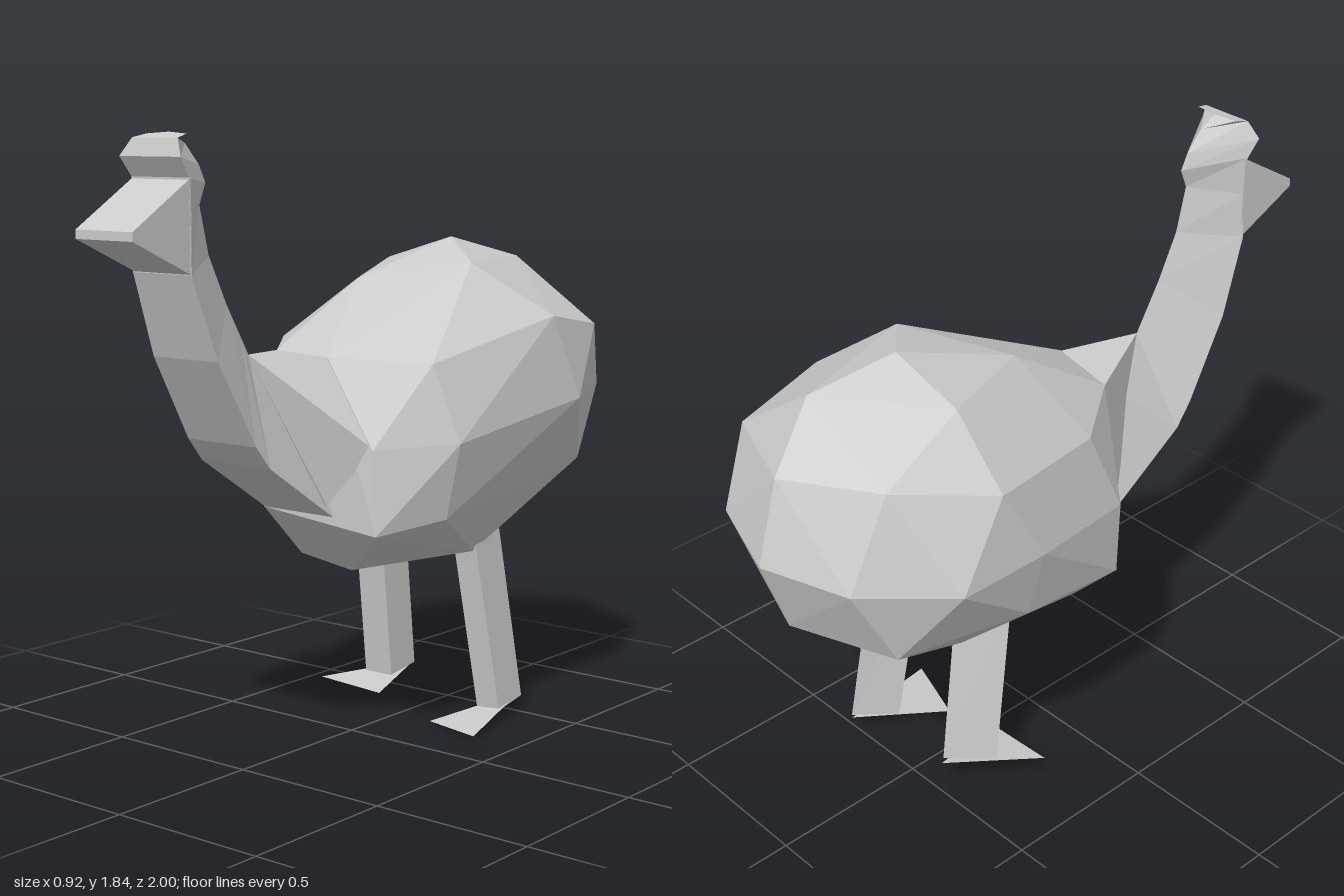
import * as THREE from 'three';
import { ConvexGeometry } from 'three/addons/geometries/ConvexGeometry.js';

const material = new THREE.MeshStandardMaterial({ color: 0xcccccc, flatShading: true });
const thinMaterial = new THREE.MeshStandardMaterial({ color: 0xcccccc, flatShading: true, side: THREE.DoubleSide });

function part(name, geometry, mat = material) {
  const mesh = new THREE.Mesh(geometry, mat);
  mesh.name = name;
  return mesh;
}

// Faceted solid around a handful of corner points
const hull = (points) => new ConvexGeometry(points.map((p) => new THREE.Vector3(...p)));

// Triangular prism lofted through rings of three corners, bottom to top
function loft(rings) {
  const index = [2, 1, 0];
  for (let r = 0; r < rings.length - 1; r++) {
    for (let i = 0; i < 3; i++) {
      const j = (i + 1) % 3, a = r * 3 + i, b = r * 3 + j;
      index.push(a, b, b + 3, a, b + 3, a + 3);
    }
  }
  const top = (rings.length - 1) * 3;
  index.push(top, top + 1, top + 2);
  const geometry = new THREE.BufferGeometry();
  geometry.setAttribute('position', new THREE.Float32BufferAttribute(rings.flat(2), 3));
  geometry.setIndex(index);
  const flat = geometry.toNonIndexed();
  flat.computeVertexNormals();
  return flat;
}

// Thin three-cornered foot
function triangle(corners) {
  const geometry = new THREE.BufferGeometry();
  geometry.setAttribute('position', new THREE.Float32BufferAttribute(corners.flat(), 3));
  geometry.computeVertexNormals();
  return geometry;
}

export function createModel() {
  const bird = new THREE.Group();
  bird.name = 'bird';

  // Plump, slightly irregular body
  bird.add(part('body', hull([
    // back ridge and crown
    [0, 1.505, -0.5], [-0.09, 1.39, -0.14], [0.21, 1.44, -0.32], [-0.25, 1.43, -0.5], [0.08, 1.435, -0.75],
    // left flank
    [0.42, 1.28, -0.46], [0.455, 1.02, -0.56], [0.37, 1.23, -0.77], [0.3, 1.02, -0.9], [0.34, 0.8, -0.73],
    [0.41, 0.94, 0], [0.33, 1.17, 0.03], [0.36, 0.71, 0], [0.24, 0.55, -0.3],
    // right flank
    [-0.43, 1.24, -0.5], [-0.46, 1.0, -0.37], [-0.46, 1.0, -0.67], [-0.38, 0.95, 0.01], [-0.38, 0.72, 0],
    [-0.42, 0.79, -0.4], [-0.27, 1.02, -0.91], [-0.3, 0.76, -0.78], [-0.28, 1.3, -0.78], [-0.34, 1.2, -0.08],
    // rump
    [0.01, 1.02, -1], [0.02, 1.27, -0.92], [0.02, 0.77, -0.91],
    // belly
    [0.05, 0.525, 0.06], [-0.2, 0.535, 0], [-0.17, 0.56, -0.43], [0.05, 0.57, -0.44],
    // chest
    [-0.15, 1.19, 0.17], [0.09, 1.19, 0.22], [-0.16, 0.72, 0.22], [0.25, 0.93, 0.21], [0.27, 0.68, 0.22],
  ])));

  // Shoulder wedge between body and neck
  bird.add(part('shoulder', hull([
    [-0.02, 1.21, 0.44], [-0.15, 1.19, 0.17], [0.09, 1.19, 0.21], [0.25, 0.93, 0.2],
    [0.11, 0.76, 0.25], [-0.16, 0.74, 0.22],
  ])));

  // Neck and head: front edge (right x, left x, y, z), then rear ridge (y, z)
  const neckSections = [
    [-0.155, 0.11, 0.72, 0.22, 1.19, 0.2],
    [-0.15, 0.115, 0.9, 0.5, 1.21, 0.44],
    [-0.145, 0.115, 0.97, 0.56, 1.26, 0.47],
    [-0.14, 0.105, 1.22, 0.7, 1.36, 0.53],
    [-0.13, 0.09, 1.46, 0.785, 1.5, 0.6],
    [-0.12, 0.09, 1.6, 0.785, 1.64, 0.635],
    [-0.125, 0.09, 1.72, 0.79, 1.7, 0.61],
    [-0.135, 0.095, 1.775, 0.825, 1.75, 0.635],
    [-0.1, 0.07, 1.825, 0.81, 1.81, 0.69],
    [-0.09, 0.06, 1.835, 0.765, 1.84, 0.75],
  ];
  bird.add(part('neckAndHead', loft(neckSections.map(([x0, x1, y, z, ry, rz]) =>
    [[x0, y, z], [x1, y, z], [-0.02, ry, rz]]))));

  // Wide wedge beak
  const beakProfile = [[1.72, 0.78], [1.46, 0.78], [1.56, 1], [1.585, 1]];
  bird.add(part('beak', hull(beakProfile.flatMap(([y, z]) => [[-0.125, y, z], [0.088, y, z]]))));

  // Triangular legs, each standing on a flat foot
  bird.add(part('leftLeg', loft([
    [[0.205, 0.03, -0.38], [0.29, 0.03, -0.38], [0.285, 0.05, -0.51]],
    [[0.165, 0.62, -0.29], [0.25, 0.62, -0.29], [0.245, 0.62, -0.43]],
  ])));
  bird.add(part('leftFoot', triangle([[0.13, 0, -0.23], [0.35, 0.01, -0.16], [0.27, 0.055, -0.52]]), thinMaterial));
  bird.add(part('rightLeg', loft([
    [[-0.215, 0.08, -0.34], [-0.118, 0.08, -0.35], [-0.115, 0.1, -0.47]],
    [[-0.198, 0.62, -0.26], [-0.1, 0.62, -0.27], [-0.095, 0.62, -0.39]],
  ])));
  bird.add(part('rightFoot', triangle([[-0.305, 0.07, -0.22], [-0.065, 0.058, -0.22], [-0.13, 0.1, -0.49]]), thinMaterial));

  return bird;
}
